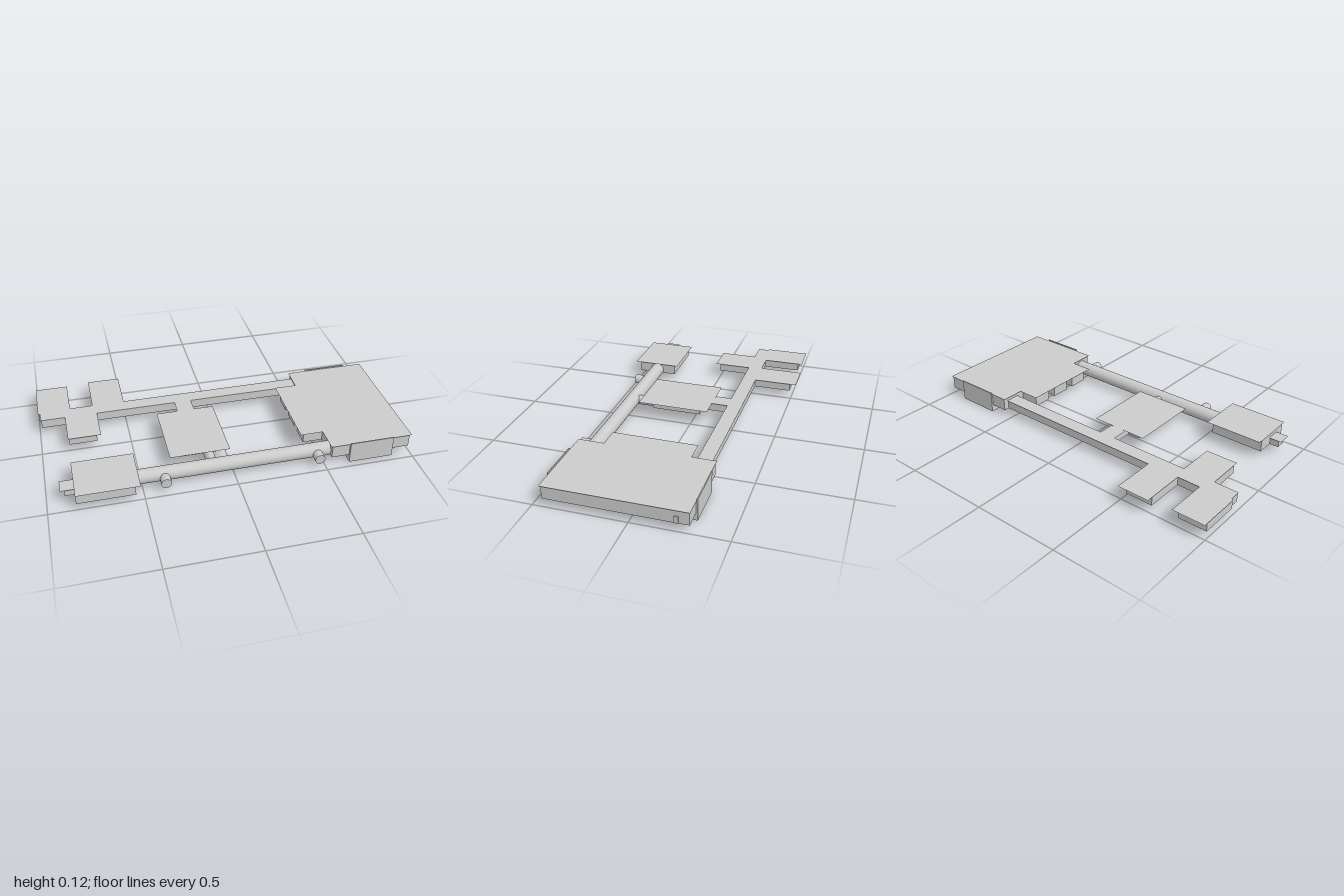
import * as THREE from 'three';

const mat = new THREE.MeshStandardMaterial({ color: 0xcccccc });
const sheet = new THREE.MeshStandardMaterial({ color: 0xcccccc, side: THREE.DoubleSide });

export function createModel() {
  const root = new THREE.Group();

  const add = (name, geo, material = mat) => {
    const m = new THREE.Mesh(geo, material);
    m.name = name;
    root.add(m);
    return m;
  };

  // Solid block given by its limits
  const block = (name, x0, x1, y0, y1, z0, z1) =>
    add(name, new THREE.BoxGeometry(x1 - x0, y1 - y0, z1 - z0))
      .position.set((x0 + x1) / 2, (y0 + y1) / 2, (z0 + z1) / 2);

  // Thin flat roof
  const roof = (name, x0, x1, y, z0, z1) => {
    const geo = new THREE.PlaneGeometry(x1 - x0, z1 - z0).rotateX(-Math.PI / 2);
    add(name, geo, sheet).position.set((x0 + x1) / 2, y, (z0 + z1) / 2);
  };

  // Short round stub along z
  const stub = (name, x, z0, z1) =>
    add(name, new THREE.CylinderGeometry(0.028, 0.028, z1 - z0, 24).rotateX(Math.PI / 2))
      .position.set(x, 0.055, (z0 + z1) / 2);

  // Main hall with its deeper middle and end plates
  block('mainHall', 0.54, 0.99, 0.04, 0.115, -0.3, 0.45);
  block('hallBase', 0.64, 0.89, 0, 0.1, -0.305, 0.46);
  for (const z of [-0.307, 0.46]) block('hallEndPlate', 0.64, 0.89, 0, 0.123, z - 0.003, z + 0.003);
  roof('hallRoof', 0.53, 1, 0.116, -0.305, 0.457);
  roof('bayRoof', 0.405, 0.54, 0.114, -0.17, 0.312);
  for (const z of [-0.09, 0.07, 0.23]) block('hallBay', 0.43, 0.55, 0.04, 0.112, z - 0.055, z + 0.055);
  block('hallDoor', 0.98, 0.995, 0.042, 0.08, -0.246, -0.225);

  // Round front passage and its stubs
  add('frontTube', new THREE.CylinderGeometry(0.04, 0.04, 1.085, 40).rotateZ(Math.PI / 2))
    .position.set(-0.002, 0.06, 0.387);
  stub('tubeStub', -0.38, 0.39, 0.472);
  stub('tubeStub', 0.465, 0.39, 0.472);
  stub('centreStub', -0.112, 0.22, 0.37);

  // Front right room with its porch
  block('frontRoom', -0.853, -0.545, 0.04, 0.107, 0.272, 0.5);
  roof('frontRoomRoof', -0.853, -0.52, 0.109, 0.247, 0.522);
  block('porch', -0.905, -0.85, 0.04, 0.083, 0.37, 0.425);
  roof('porchRoof', -0.925, -0.85, 0.085, 0.357, 0.438);

  // Square rear corridor
  block('rearCorridor', -0.985, 0.545, 0.04, 0.092, -0.268, -0.195);
  roof('corridorRoof', -0.988, 0.54, 0.093, -0.275, -0.192);

  // Rear rooms: roof limits x0, x1, z0, z1, then box limits z0, z1
  const rooms = [
    [-1, -0.815, -0.512, -0.258, -0.485, -0.26],
    [-0.685, -0.5, -0.527, -0.27, -0.488, -0.26],
    [-0.85, -0.667, -0.2, 0.022, -0.2, 0],
  ];
  for (const [x0, x1, z0, z1, b0, b1] of rooms) {
    block('rearRoom', x0 + 0.004, x1 - 0.022, 0.04, 0.092, b0, b1);
    roof('rearRoomRoof', x0, x1, 0.094, z0, z1);
  }

  // Central room under a wide roof, joined to the corridor by a neck
  block('centreRoom', -0.26, -0.06, 0.04, 0.093, -0.04, 0.25);
  roof('centreRoof', -0.332, 0, 0.095, -0.1, 0.315);
  block('neck', -0.19, -0.13, 0.04, 0.091, -0.2, -0.03);
  roof('neckRoof', -0.21, -0.112, 0.094, -0.2, -0.1);

  return root;
}
